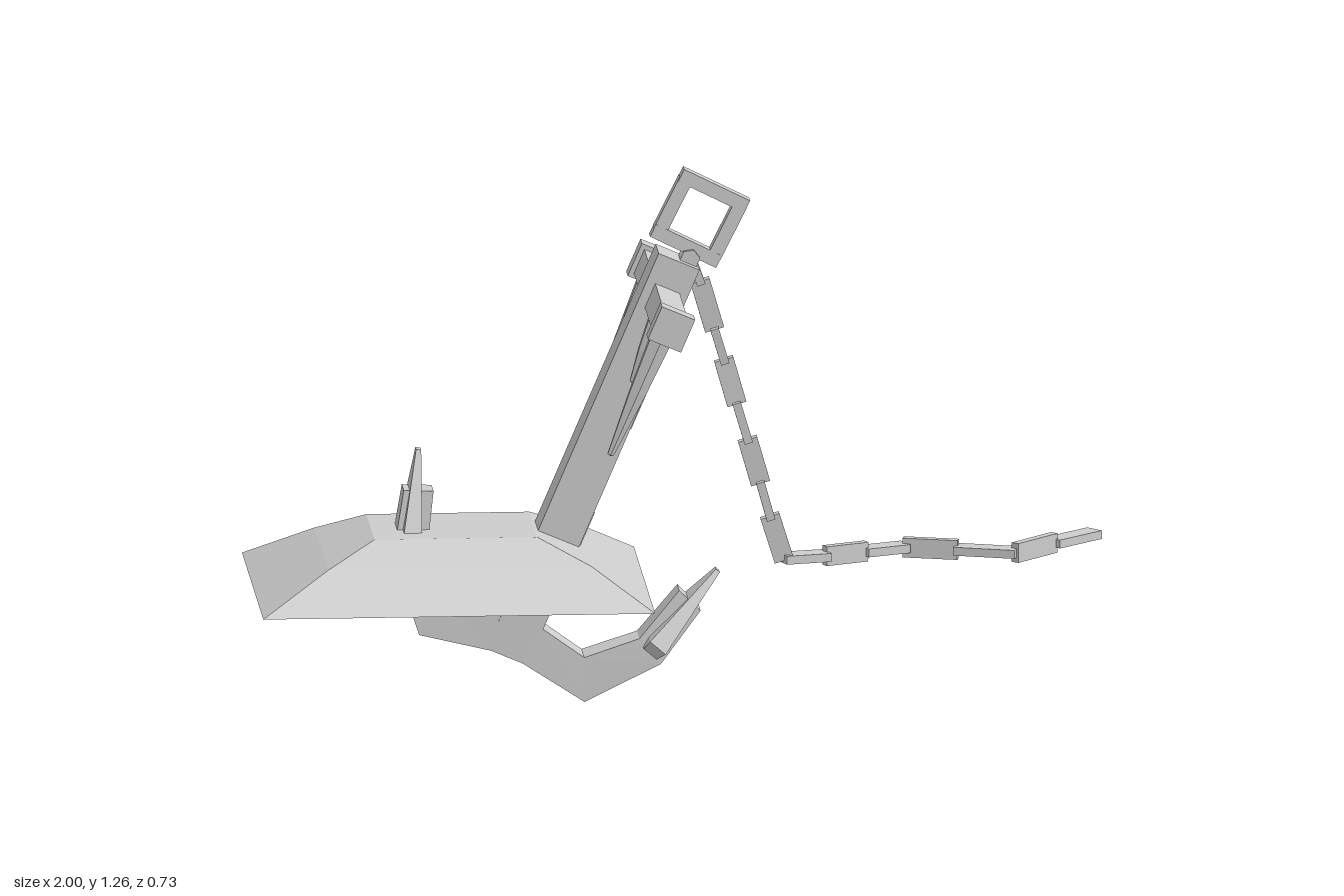
import * as THREE from 'three';

const grey = new THREE.MeshStandardMaterial({ color: 0xcccccc });
grey.name = 'stone grey';

function add(parent, name, geometry, x = 0, y = 0, z = 0) {
  const mesh = new THREE.Mesh(geometry, grey);
  mesh.name = name;
  mesh.position.set(x, y, z);
  parent.add(mesh);
  return mesh;
}

// Flat-faced solid through four-cornered rings, each counter-clockwise seen from the far end
function loft(rings) {
  const pos = [];
  const quad = (a, b, c, d) => pos.push(...a, ...b, ...c, ...a, ...c, ...d);
  for (let r = 0; r < rings.length - 1; r++) {
    for (let i = 0; i < 4; i++) {
      const j = (i + 1) % 4;
      quad(rings[r][i], rings[r][j], rings[r + 1][j], rings[r + 1][i]);
    }
  }
  quad(...[...rings[0]].reverse());
  quad(...rings[rings.length - 1]);
  const g = new THREE.BufferGeometry();
  g.setAttribute('position', new THREE.Float32BufferAttribute(pos, 3));
  g.computeVertexNormals();
  return g;
}

// Sections are [inner x, inner y, outer x, outer y, half depth]
const beam = (sections) => loft(sections.map(([ix, iy, ox, oy, h]) =>
  [[ox, oy, -h], [ix, iy, -h], [ix, iy, h], [ox, oy, h]]));
const mirrored = (sections) => sections.map(([ix, iy, ox, oy, h]) => [-ix, iy, -ox, oy, h]).reverse();

function buildMound(root) {
  const ring = (x0, x1, z, y) => [[x1, y, z], [x1, y, -z], [x0, y, -z], [x0, y, z]];
  add(root, 'mound', loft([
    ring(-1, -0.085, 0.36, 0.28),
    ring(-0.84, -0.225, 0.23, 0.366),
    ring(-0.725, -0.345, 0.137, 0.417),
  ]));
}

function buildAnchor(root) {
  const anchor = new THREE.Group();
  anchor.name = 'anchor';
  anchor.position.set(-0.008, 1.05, 0);
  anchor.rotation.z = THREE.MathUtils.degToRad(-23.2);
  root.add(anchor);

  // Shank with worn plates on its right face
  add(anchor, 'shank', new THREE.BoxGeometry(0.104, 0.95, 0.104), 0, -0.475, 0);
  for (const y of [-0.37, -0.675]) {
    add(anchor, 'shankPlate', new THREE.BoxGeometry(0.008, 0.09, 0.05), 0.054, y, 0);
  }

  // Curved arms, one solid from tip to tip
  const half = [
    [0.043, -0.925, 0.04, -1.02, 0.05],
    [0.168, -0.953, 0.21, -1.05, 0.047],
    [0.27, -0.863, 0.34, -0.9, 0.043],
    [0.312, -0.724, 0.377, -0.749, 0.034],
  ];
  add(anchor, 'arms', beam([...mirrored(half), ...half]));

  // Flukes
  const fluke = [[0.305, -0.885, 0.06, 0.02], [0.312, -0.86, 0.088, 0.024], [0.38, -0.65, 0.013, 0.006]]
    .map(([x, y, w, t]) => [x - 0.95 * t, y + 0.3 * t, x + 0.95 * t, y - 0.3 * t, w]);
  add(anchor, 'rightFluke', beam(fluke));
  add(anchor, 'leftFluke', beam(mirrored(fluke)));

  // Stock with end blocks
  add(anchor, 'stock', new THREE.BoxGeometry(0.062, 0.062, 0.66), 0, -0.1, 0);
  for (const z of [-0.34, 0.34]) {
    add(anchor, 'stockEnd', new THREE.BoxGeometry(0.084, 0.084, 0.05), 0, -0.1, z);
  }

  // Hanging spikes: [z, length]
  for (const [z, len] of [[0.27, 0.32], [0.135, 0.165], [-0.132, 0.19], [-0.265, 0.32]]) {
    const profile = [[0, -len], [0.007, -len + 0.003], [0.018, -len * 0.5], [0.025, 0]]
      .map(([r, y]) => new THREE.Vector2(r, y));
    const g = new THREE.LatheGeometry(profile, 6).toNonIndexed();
    g.computeVertexNormals();
    add(anchor, 'spike', g, 0, -0.128, z).scale.x = 1.2;
  }

  // Square top ring made of four bars, and the pin holding it
  const ring = new THREE.Group();
  ring.name = 'topRing';
  ring.position.set(0.01, 0.107, 0);
  ring.rotation.z = -0.06;
  anchor.add(ring);
  for (const side of [-1, 1]) {
    add(ring, 'ringBar', new THREE.BoxGeometry(0.172, 0.032, 0.036), 0, side * 0.073, 0);
    add(ring, 'ringBar', new THREE.BoxGeometry(0.032, 0.135, 0.034), side * 0.071, 0, 0);
  }
  add(anchor, 'ringPin', new THREE.CylinderGeometry(0.024, 0.024, 0.055, 6), 0.025, 0.01, 0).rotation.x = Math.PI / 2;
}

// Chain of flat links, each turned a quarter against the last
function buildChain(root) {
  const path = [
    [0.022, 1.055, 0], [0.045, 0.99, -0.005], [0.078, 0.877, -0.015], [0.102, 0.797, -0.025],
    [0.131, 0.695, -0.028], [0.158, 0.604, -0.033], [0.187, 0.503, -0.04], [0.211, 0.417, -0.047],
    [0.243, 0.315, -0.055], [0.345, 0.31, -0.1], [0.44, 0.308, -0.15], [0.535, 0.307, -0.193],
    [0.655, 0.306, -0.163], [0.79, 0.306, -0.12], [0.885, 0.306, -0.22], [0.985, 0.306, -0.312],
  ].map((p) => new THREE.Vector3(...p));
  // The tall plates start with the second link
  for (let i = 0; i < path.length - 1; i++) {
    const dir = path[i + 1].clone().sub(path[i]);
    const len = dir.length();
    dir.normalize();
    const tall = new THREE.Vector3(0, 0, 1).cross(dir).normalize();
    const flat = tall.clone().cross(dir);
    const wide = i % 2 ? [0.046, 0.02] : [0.02, 0.048];
    const link = add(root, 'chainLink', new THREE.BoxGeometry(wide[0], len + 0.006, wide[1]));
    link.position.copy(path[i]).add(path[i + 1]).multiplyScalar(0.5);
    link.quaternion.setFromRotationMatrix(new THREE.Matrix4().makeBasis(tall, dir, flat));
  }
}

export function createModel() {
  const root = new THREE.Group();
  root.name = 'buriedAnchor';
  buildMound(root);
  buildAnchor(root);
  buildChain(root);
  return root;
}
